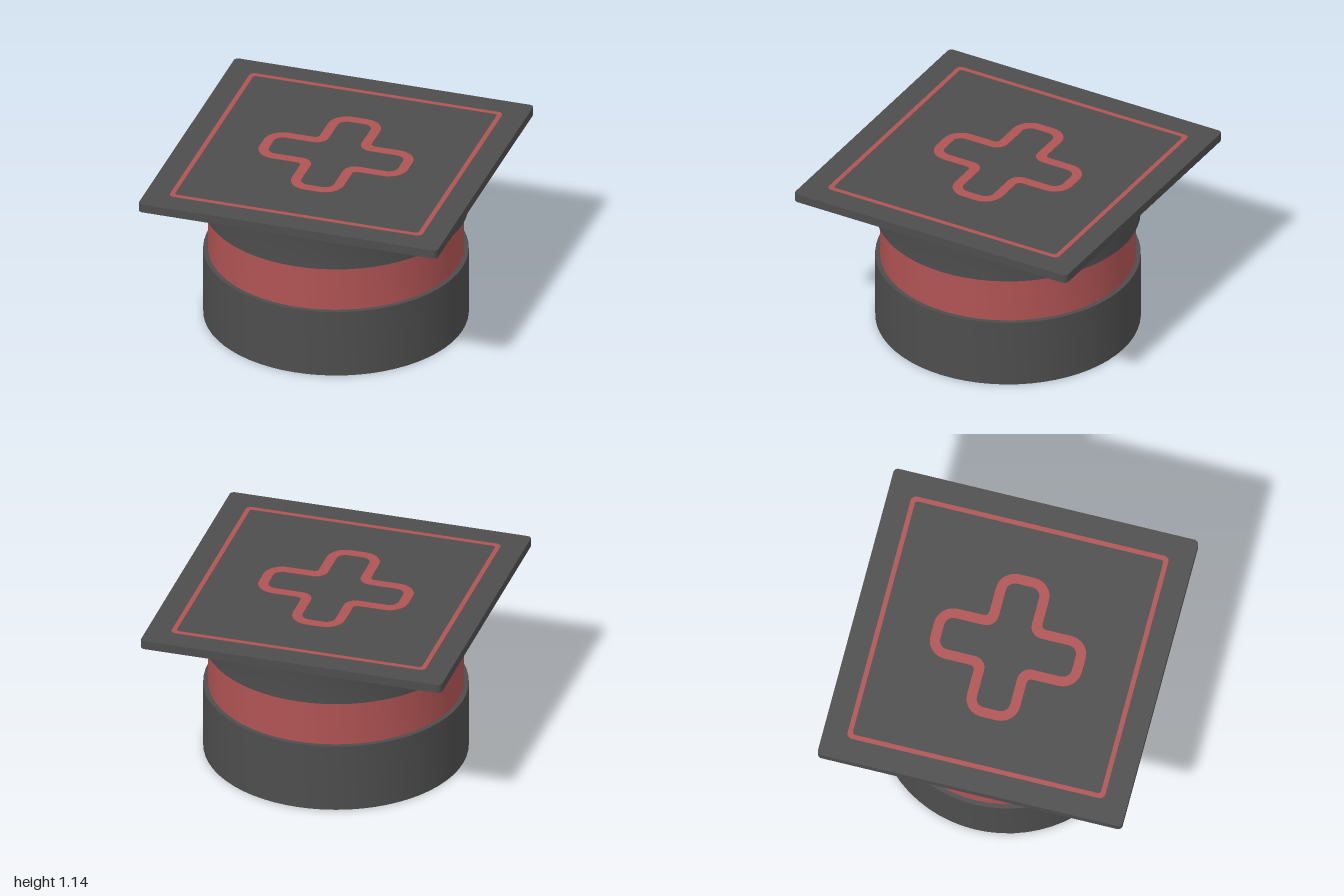
import * as THREE from 'three';
import { toCreasedNormals } from 'three/addons/utils/BufferGeometryUtils.js';

const dark = new THREE.MeshStandardMaterial({ color: 0x4d4d4d });
const red = new THREE.MeshStandardMaterial({ color: 0xb05353 });

// Closed outline through corners [x, y, radius], each corner rounded by its radius
function roundedOutline(corners, path) {
  const k = 0.4477; // keeps the bezier close to a circular arc
  const n = corners.length;
  corners.forEach(([x, y, r], i) => {
    const c = new THREE.Vector2(x, y);
    const toward = ([px, py], d) => new THREE.Vector2(px, py).sub(c).setLength(d).add(c);
    const prev = corners[(i + n - 1) % n], next = corners[(i + 1) % n];
    const a = toward(prev, r), b = toward(next, r);
    const ca = toward(prev, r * k), cb = toward(next, r * k);
    if (i === 0) path.moveTo(a.x, a.y);
    else path.lineTo(a.x, a.y);
    path.bezierCurveTo(ca.x, ca.y, cb.x, cb.y, b.x, b.y);
  });
  path.closePath();
  return path;
}

const square = (s, r) => [[s, -s, r], [s, s, r], [-s, s, r], [-s, -s, r]];

// Plus outline: arm length, arm half width, tip radius, inside corner radius
function cross(len, half, tip, inside) {
  const corners = [];
  for (let i = 0; i < 4; i++) {
    const c = Math.round(Math.cos(i * Math.PI / 2)), s = Math.round(Math.sin(i * Math.PI / 2));
    for (const [x, y, r] of [[len, -half, tip], [len, half, tip], [half, half, inside]]) {
      corners.push([x * c - y * s, x * s + y * c, r]);
    }
  }
  return corners;
}

// Flat slab lying on y = bottom, with an optional hole
function slab(name, material, outer, inner, bottom, top) {
  const shape = roundedOutline(outer, new THREE.Shape());
  if (inner) shape.holes.push(roundedOutline(inner, new THREE.Path()));
  const geo = new THREE.ExtrudeGeometry(shape, { depth: top - bottom, bevelEnabled: false, curveSegments: 8 });
  geo.rotateX(-Math.PI / 2).translate(0, bottom, 0);
  const mesh = new THREE.Mesh(toCreasedNormals(geo, 0.6), material);
  mesh.name = name;
  return mesh;
}

// Round part turned from a profile of [radius, y], listed bottom to top
function turned(name, material, profile) {
  const geo = new THREE.LatheGeometry(profile.map(p => new THREE.Vector2(...p)), 64);
  const mesh = new THREE.Mesh(toCreasedNormals(geo, 0.6), material);
  mesh.name = name;
  return mesh;
}

export function createModel() {
  const model = new THREE.Group();
  model.name = 'squareToppedCap';

  // Drum: base, recessed band, and collar flaring into the board
  model.add(turned('base', dark, [[0, 0], [0.845, 0], [0.845, 0.462], [0, 0.462]]));
  model.add(turned('band', red, [[0.815, 0.462], [0.815, 0.773]]));
  model.add(turned('collar', dark, [
    [0, 0.773], [0.845, 0.773], [0.845, 1.05], [0.849, 1.065], [0.857, 1.076], [0.868, 1.082],
  ]));

  // Square board with its border and cross inlays
  model.add(slab('board', dark, square(1, 0.03), null, 1.08, 1.138));
  model.add(slab('borderInlay', red, square(0.846, 0.035), square(0.815, 0.02), 1.13, 1.14));
  model.add(slab('crossInlay', red, cross(0.497, 0.174, 0.125, 0.03), cross(0.432, 0.109, 0.06, 0.08), 1.13, 1.14));
  return model;
}
